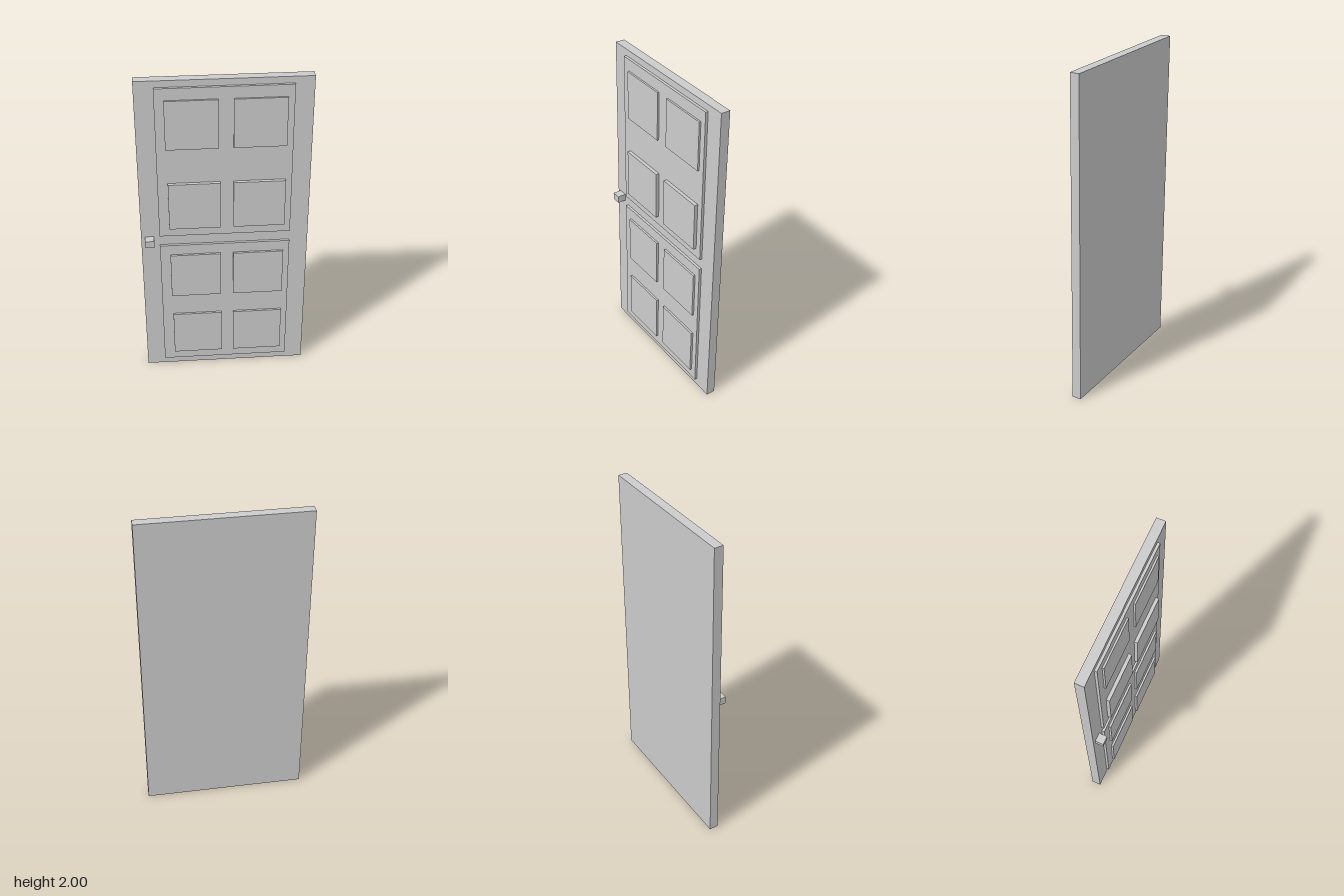
import * as THREE from 'three';

const material = new THREE.MeshStandardMaterial({ color: 0xcccccc, flatShading: true });

// Box given by its lower and upper limits on each axis
function box(name, x0, x1, y0, y1, z0, z1) {
  const geometry = new THREE.BoxGeometry(x1 - x0, y1 - y0, z1 - z0);
  geometry.translate((x0 + x1) / 2, (y0 + y1) / 2, (z0 + z1) / 2);
  const mesh = new THREE.Mesh(geometry, material);
  mesh.name = name;
  return mesh;
}

export function createModel() {
  const model = new THREE.Group();
  model.name = 'door';

  // The leaf and its panels lean slightly backwards
  const leaf = new THREE.Group();
  leaf.name = 'leaf';
  leaf.position.z = 0.0225;
  leaf.rotation.x = -0.0137;
  model.add(leaf);

  leaf.add(box('slab', -0.5, 0.5, 0, 2, -0.056, 0));

  // Two large raised panels
  const face = 0.016;
  leaf.add(box('upperPanel', -0.39, 0.39, 1.0, 1.96, -0.005, face));
  leaf.add(box('lowerPanel', -0.39, 0.39, 0.05, 0.93, -0.005, face));

  // Four rows of square panels: bottom edge, left column start, thickness
  const rows = [
    [1.585, -0.337, 0.011],
    [1.06, -0.33, 0.021],
    [0.56, -0.33, 0.013],
    [0.11, -0.325, 0.013],
  ];
  const size = 0.303;
  rows.forEach(([y, xLeft, depth], i) => {
    for (const x of [xLeft, 0.05]) {
      leaf.add(box(`squarePanel${i + 1}${x < 0 ? 'Right' : 'Left'}`,
        x, x + size, y, y + size, face - 0.005, face + depth));
    }
  });

  // Block handle, upright
  model.add(box('handle', -0.477, -0.423, 0.945, 0.99, 0.005, 0.061));

  return model;
}
